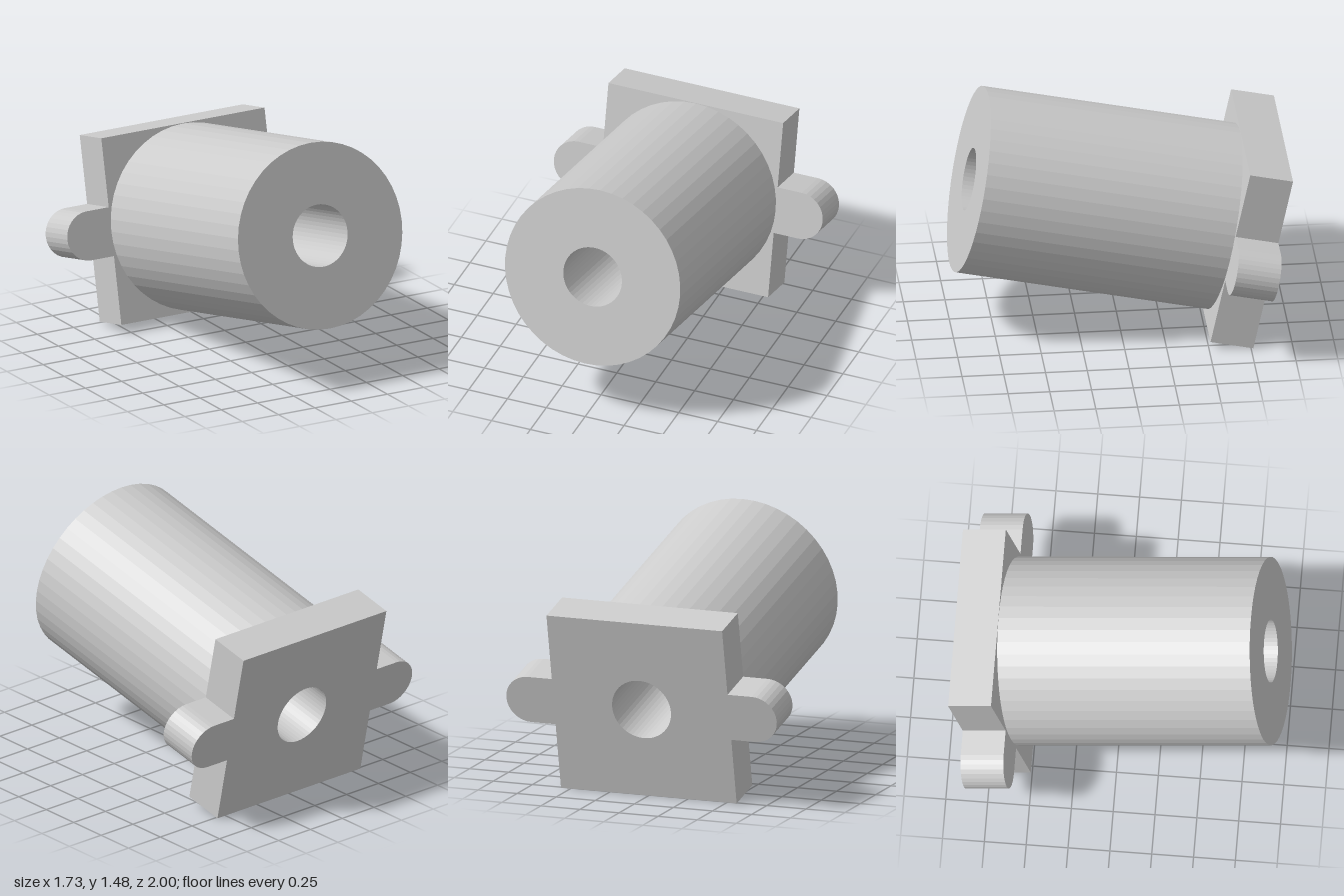
import * as THREE from 'three';

const R = 0.562, BORE = 0.188, LENGTH = 1.805, PLATE = 0.262;
const EAR_R = 0.148, EAR_X = 0.717;
const TILT = Math.atan2(0.38, 1.765);

// Points along an arc, ends included
function arc(cx, r, from, to, steps) {
  return Array.from({ length: steps + 1 }, (_, i) => {
    const a = from + (to - from) * i / steps;
    return new THREE.Vector2(cx + r * Math.cos(a), r * Math.sin(a));
  });
}

const circle = r => arc(0, r, 0, Math.PI * 2, 48).slice(0, 48);

// Extrudes an outline along z with the central bore cut through it
function boredPart(name, outline, z, depth, material) {
  const shape = new THREE.Shape(outline);
  shape.holes.push(new THREE.Path(circle(BORE)));
  const geometry = new THREE.ExtrudeGeometry(shape, { depth, bevelEnabled: false });
  const mesh = new THREE.Mesh(geometry, material);
  mesh.name = name;
  mesh.position.z = z;
  return mesh;
}

export function createModel() {
  const model = new THREE.Group();
  model.name = 'flangedSleeve';
  const material = new THREE.MeshStandardMaterial({ color: 0xcccccc, flatShading: true });

  // Square plate outline with a rounded ear on each side
  const h = 0.565, P = (x, y) => new THREE.Vector2(x, y);
  const outline = [
    P(-R, -h), P(R, -h), P(R, -EAR_R),
    ...arc(EAR_X, EAR_R, -Math.PI / 2, Math.PI / 2, 16),
    P(R, EAR_R), P(R, h), P(-R, h), P(-R, EAR_R),
    ...arc(-EAR_X, EAR_R, Math.PI / 2, Math.PI * 1.5, 16),
    P(-R, -EAR_R),
  ];

  // Plate at the back, thick-walled sleeve in front of it
  model.add(boredPart('earedPlate', outline, 0, PLATE, material));
  model.add(boredPart('sleeve', circle(R), PLATE, LENGTH - PLATE, material));

  // Front end tipped upward, lower back edge resting on the ground
  model.rotation.x = -TILT;
  model.position.set(0, h * Math.cos(TILT), -LENGTH / 2 * Math.cos(TILT));

  const root = new THREE.Group();
  root.add(model);
  return root;
}
